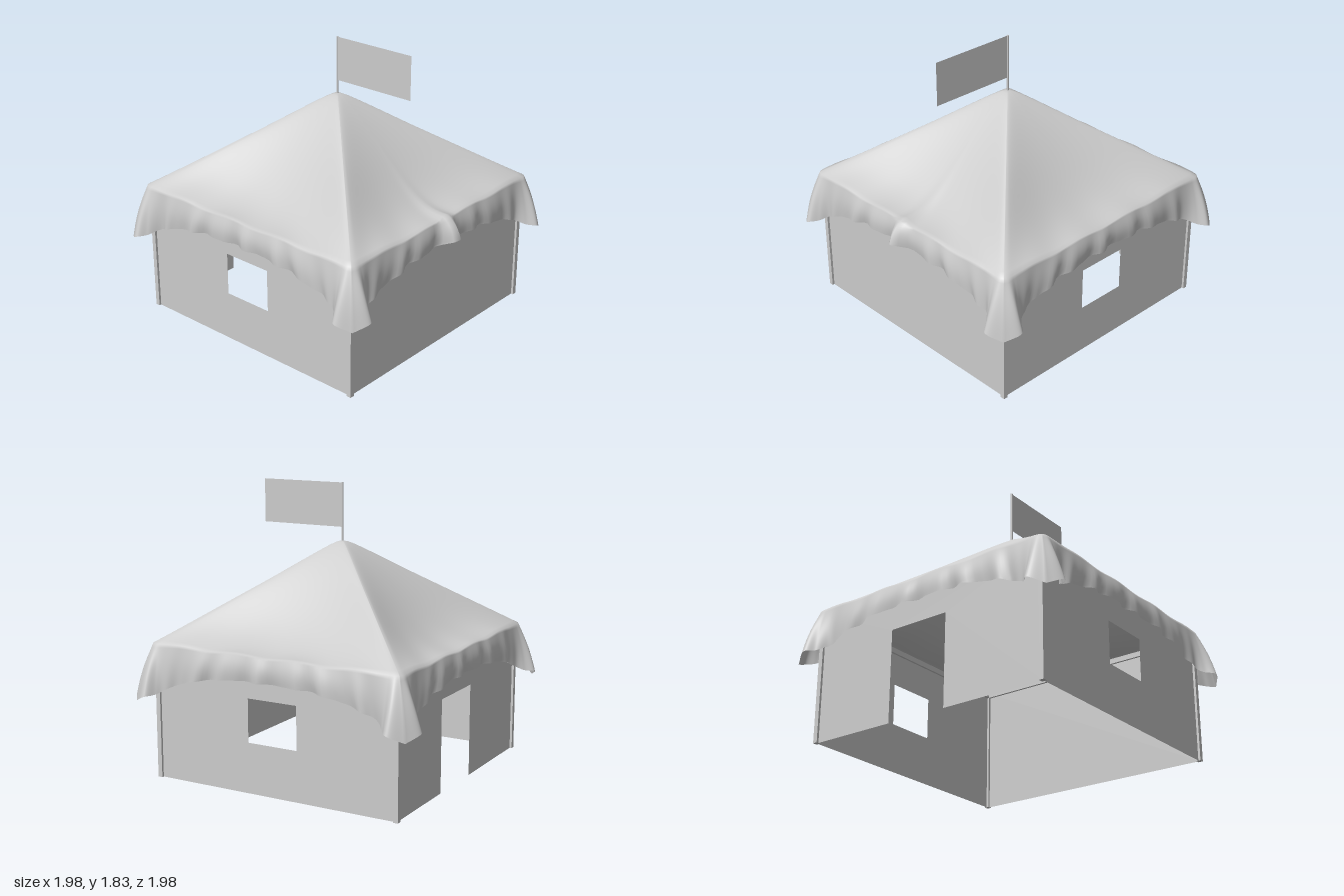
import * as THREE from 'three';

const material = new THREE.MeshStandardMaterial({ color: 0xcccccc, side: THREE.DoubleSide });
const W = 0.85;    // outer half width of the frame
const EAVE = 0.868; // half width of the roof at the eave

function part(name, geometry, x = 0, y = 0, z = 0) {
  const mesh = new THREE.Mesh(geometry, material);
  mesh.name = name;
  mesh.position.set(x, y, z);
  return mesh;
}

// Round bar between two points
function bar(name, a, b, radius) {
  const mesh = part(name, new THREE.CylinderGeometry(radius, radius, a.distanceTo(b), 8));
  mesh.position.copy(a).add(b).multiplyScalar(0.5);
  mesh.quaternion.setFromUnitVectors(new THREE.Vector3(0, 1, 0), b.clone().sub(a).normalize());
  return mesh;
}

// Flat wall panel facing +z, with an optional window or a door cut from the ground
function wallPanel(name, opening, door) {
  const h = 0.85, w = W - 0.015;
  const shape = new THREE.Shape();
  const trace = (path, pts) => path.setFromPoints(pts.map(p => new THREE.Vector2(...p)));
  if (door) {
    const [a, b, top] = door;
    trace(shape, [[-w, 0], [a, 0], [a, top], [b, top], [b, 0], [w, 0], [w, h], [-w, h]]);
  } else {
    trace(shape, [[-w, 0], [w, 0], [w, h], [-w, h]]);
  }
  if (opening) {
    const [a, b, lo, hi] = opening;
    shape.holes.push(trace(new THREE.Path(), [[a, lo], [a, hi], [b, hi], [b, lo]]));
  }
  return part(name, new THREE.ShapeGeometry(shape), 0, 0, w);
}

// Mirror half a side's control points (along, height, outward) into a full curve
function sideCurve(half) {
  const pts = half.map(p => new THREE.Vector3(...p));
  const mirrored = pts.slice(1).reverse().map(p => new THREE.Vector3(-p.x, p.y, p.z));
  return new THREE.CatmullRomCurve3([...mirrored, ...pts]);
}

// Draped cloth: sagging roof rows to the eave, then a hanging skirt with flared corners
function canopyGeometry() {
  const n = 120, roofRows = 30, skirtRows = 14, rows = roofRows + skirtRows;
  const corner = EAVE - 0.012;
  const eave = sideCurve([
    [0, 0, EAVE], [0.3, 0, EAVE], [0.55, 0, EAVE], [0.72, 0, EAVE],
    [0.79, 0, EAVE], [0.83, 0, EAVE - 0.001], [corner, 0, corner],
  ]);
  const hem = sideCurve([
    [0, 0.71, 0.875], [0.33, 0.70, 0.88], [0.6, 0.645, 0.88], [0.74, 0.59, 0.885],
    [0.79, 0.56, 0.935], [0.84, 0.55, 0.99], [0.935, 0.505, 0.935],
  ]);
  const positions = [], indices = [];
  // pyramid height with a rounded apex and softened hips
  const roofHeight = (a, o) => {
    const d = (a + o + Math.sqrt((a - o) ** 2 + 0.003 * Math.min(1, o * 3))) / 2;
    return 1.492 - 0.71 * Math.sqrt(d * d + 0.0022);
  };

  for (let j = 0; j <= rows; j++) {
    const t = Math.min(j / roofRows, 1);
    const k = Math.max(0, j - roofRows) / skirtRows;
    for (let side = 0; side < 4; side++) {
      const c = Math.cos(side * Math.PI / 2), sn = Math.sin(side * Math.PI / 2);
      for (let i = 0; i < n; i++) {
        const e = eave.getPoint(i / n), h = hem.getPoint(i / n);
        const s = e.x / corner, free = 1 - s ** 4;
        let along = e.x * t, out = e.z * t;
        // panels hang between the hips and lie almost level at the eave
        let y = roofHeight(Math.abs(along), out) - 0.1 * Math.sin(Math.PI * t * t) * (1 - s * s)
          - 0.006 * t ** 8 * free * (1.5 + Math.sin(13 * s + side));
        // skirt falls from the eave to the hem, bulging slightly and rippling
        const bulge = Math.sin(Math.PI * k);
        along += (h.x - along) * k + 0.01 * bulge * s ** 9;
        out += (h.z - out) * k + 0.012 * bulge * free + 0.01 * bulge * Math.abs(s) ** 9;
        y += (h.y - y) * k;
        const ripple = Math.sin(25 * s + side * 1.7) + 0.5 * Math.sin(41 * s + side * 2.3);
        out += 0.014 * k * free * (ripple + 0.6);
        // one pinched fold in the middle of the +x side
        if (side === 1) {
          const fold = Math.exp(-((s / 0.06) ** 2));
          out += 0.085 * fold * Math.sqrt(k);
          y += fold * (0.03 * t ** 5 + 0.015 * k);
        }
        positions.push(along * c + out * sn, y, -along * sn + out * c);
      }
    }
  }
  const ring = 4 * n;
  for (let j = 0; j < rows; j++) {
    for (let i = 0; i < ring; i++) {
      const a = j * ring + i, b = j * ring + (i + 1) % ring;
      if (j > 0) indices.push(a, a + ring, b);
      indices.push(b, a + ring, b + ring);
    }
  }
  const geometry = new THREE.BufferGeometry();
  geometry.setAttribute('position', new THREE.Float32BufferAttribute(positions, 3));
  geometry.setIndex(indices);
  geometry.computeVertexNormals();
  // the apex points share one upward normal
  for (let i = 0; i < ring; i++) geometry.attributes.normal.setXYZ(i, 0, 1, 0);
  return geometry;
}

export function createModel() {
  const model = new THREE.Group();
  model.name = 'tent';
  const tent = new THREE.Group();
  tent.name = 'tentBody';
  tent.position.x = 0.008;
  model.add(tent);

  // Walls: windows front and back, plain +x side, door on the -x side
  const windowHole = [-0.167, 0.173, 0.32, 0.595];
  const backHole = [-0.173, 0.167, 0.32, 0.595];
  const walls = [
    wallPanel('frontWall', windowHole),
    wallPanel('leftWall'),
    wallPanel('backWall', backHole),
    wallPanel('rightWall', null, [-0.26, 0.15, 0.59]),
  ];

  const p = W - 0.015;
  walls.forEach((wall, side) => {
    const group = new THREE.Group();
    group.name = wall.name + 'Side';
    group.rotation.y = side * Math.PI / 2;
    group.add(wall);
    // corner post, top beam and hip rafter
    group.add(part('cornerPost', new THREE.BoxGeometry(0.03, 0.85, 0.03), p, 0.425, p));
    group.add(part('topBeam', new THREE.BoxGeometry(2 * p, 0.035, 0.03), 0, 0.826, p));
    group.add(bar('hipRafter', new THREE.Vector3(p, 0.845, p), new THREE.Vector3(0, 1.425, 0), 0.014));
    tent.add(group);
  });

  // Roof cloth
  tent.add(part('canopy', canopyGeometry()));

  // Flag on its pole
  tent.add(part('flagPole', new THREE.CylinderGeometry(0.007, 0.007, 0.42, 10), 0, 1.615, 0));
  tent.add(part('flag', new THREE.PlaneGeometry(0.578, 0.28), 0.289, 1.683, 0));

  return model;
}
